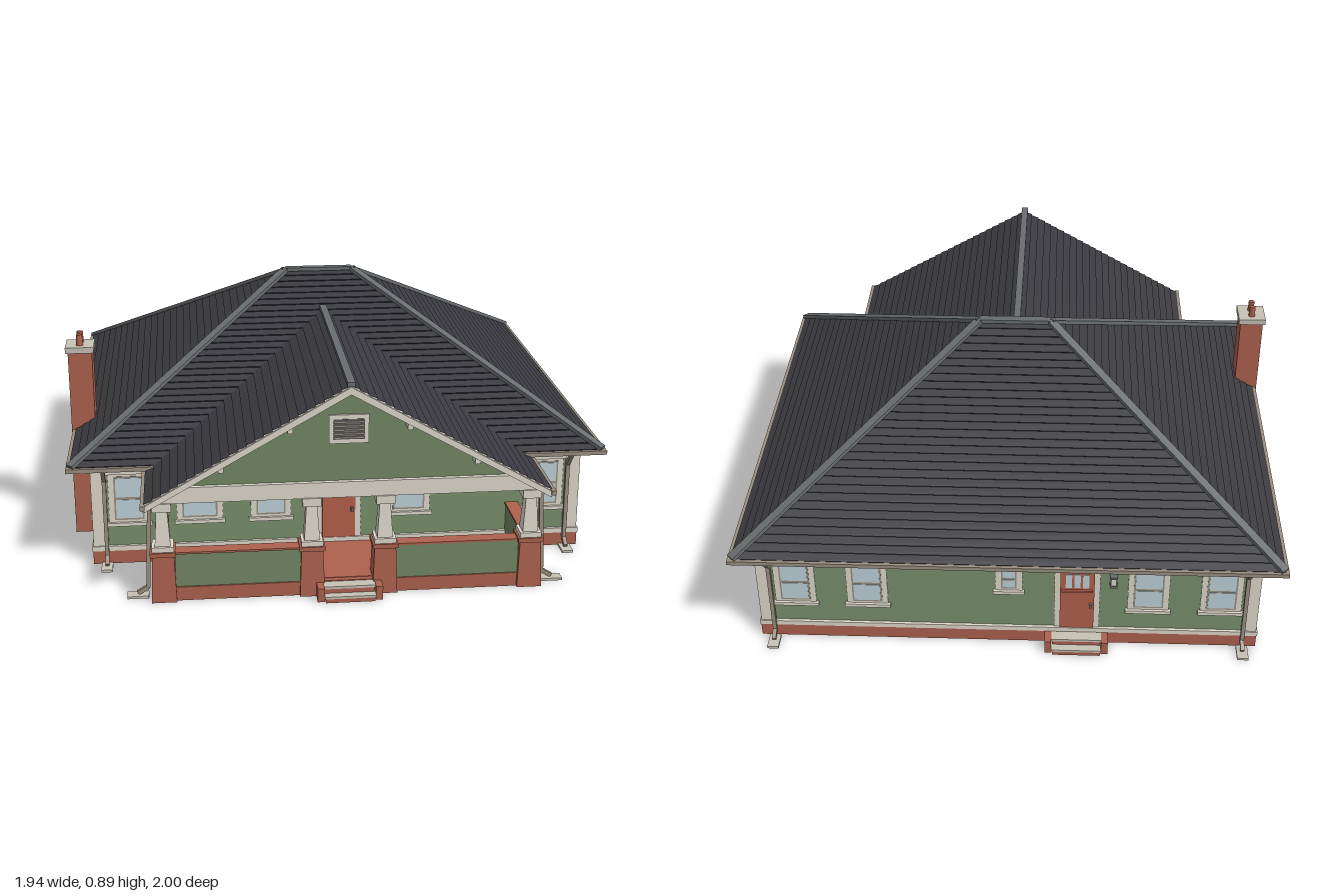
import * as THREE from 'three';

const mat = (name, color) => {
  const m = new THREE.MeshStandardMaterial({ color });
  m.name = name;
  return m;
};

export function createModel() {
  const house = new THREE.Group();
  house.name = 'house';
  const roofing = mat('roof shingle', 0x3b3a40), green = mat('green siding', 0x728866);
  const trim = mat('cream trim', 0xe0dacc), brick = mat('brick', 0xae624e);
  const glass = mat('glass', 0xc0d4dc), doorRed = mat('door red', 0xb5614b);
  const taupe = mat('taupe sash', 0x9a9080), metal = mat('grey metal', 0x6a6e70);
  const stone = mat('concrete', 0xc8c2b6), dark = mat('slate', 0x6c767b);
  const V = (x, y, z) => new THREE.Vector3(x, y, z);

  const add = (name, geo, m, parent = house) => {
    const mesh = new THREE.Mesh(geo, m);
    mesh.name = name;
    parent.add(mesh);
    return mesh;
  };
  // box given by its min and max on each axis
  const box = (name, m, x0, x1, y0, y1, z0, z1, parent = house) => {
    const b = add(name, new THREE.BoxGeometry(x1 - x0, y1 - y0, z1 - z0), m, parent);
    b.position.set((x0 + x1) / 2, (y0 + y1) / 2, (z0 + z1) / 2);
    return b;
  };
  // bar from a to b
  const bar = (name, m, a, b, w, h) => {
    const s = add(name, new THREE.BoxGeometry(w, h, a.distanceTo(b)), m);
    s.position.copy(a).lerp(b, 0.5);
    s.lookAt(b);
  };
  // plate with an outline in x and y, starting at z
  const plate = (name, m, pts, z, depth) => {
    const shape = new THREE.Shape(pts.map(p => new THREE.Vector2(...p)));
    const p = add(name, new THREE.ExtrudeGeometry(shape, { depth, bevelEnabled: false }), m);
    p.position.z = z;
    return p;
  };
  const ring = (name, m, x0, x1, y0, y1, z0, z1, t) => {
    box(name, m, x0, x1, y0, y1, z1 - t, z1);
    box(name, m, x0, x1, y0, y1, z0, z0 + t);
    box(name, m, x0, x0 + t, y0, y1, z0 + t, z1 - t);
    box(name, m, x1 - t, x1, y0, y1, z0 + t, z1 - t);
  };
  // square frustum
  const taper = (name, m, top, bottom, y0, y1, x, z) => {
    const g = new THREE.CylinderGeometry(top * Math.SQRT1_2, bottom * Math.SQRT1_2, y1 - y0, 4).rotateY(Math.PI / 4).toNonIndexed();
    g.computeVertexNormals();
    add(name, g, m).position.set(x, (y0 + y1) / 2, z);
  };
  // surface in lapped courses; lower left, lower right, top left, top right
  const courses = (name, m, el, er, tl, tr, n, lap) => {
    const up = er.clone().sub(el).cross(tl.clone().sub(el)).normalize().multiplyScalar(lap);
    const p = [];
    for (let i = 0; i < n; i++) {
      const a = el.clone().lerp(tl, i / n), b = er.clone().lerp(tr, i / n);
      const c = er.clone().lerp(tr, (i + 1) / n), d = el.clone().lerp(tl, (i + 1) / n);
      const A = a.clone().add(up), B = b.clone().add(up);
      for (const v of [A, B, c, A, c, d, a, b, B, a, B, A]) p.push(v.x, v.y, v.z);
    }
    const g = new THREE.BufferGeometry();
    g.setAttribute('position', new THREE.Float32BufferAttribute(p, 3));
    g.computeVertexNormals();
    add(name, g, m);
  };
  const slope = (name, el, er, tl, tr, n) => courses(name, roofing, el, er, tl, tr, n, 0.005);

  // foundation and floor
  ring('foundation', brick, -0.885, 0.885, 0, 0.05, -0.925, 0.615, 0.035);
  box('floorSlab', stone, -0.85, 0.85, 0.012, 0.05, -0.89, 0.58);
  for (let i = 1; i < 6; i++) box('slabJoint', taupe, -0.85 + i * 0.283 - 0.008, -0.85 + i * 0.283 + 0.008, 0.009, 0.013, -0.89, 0.58);
  for (let i = 1; i < 5; i++) box('slabJoint', taupe, -0.85, 0.85, 0.009, 0.013, -0.89 + i * 0.294 - 0.008, -0.89 + i * 0.294 + 0.008);

  // shingled walls
  box('walls', green, -0.875, 0.875, 0.05, 0.38, -0.915, 0.605);
  const corners = [[-0.875, 0.605], [0.875, 0.605], [0.875, -0.915], [-0.875, -0.915]];
  corners.forEach(([x, z], i) => {
    const [x2, z2] = corners[(i + 1) % 4];
    courses('wallShingles', green, V(x, 0.06, z), V(x2, 0.06, z2), V(x, 0.365, z), V(x2, 0.365, z2), 14, 0.003);
  });
  ring('waterTable', trim, -0.888, 0.888, 0.05, 0.068, -0.928, 0.618, 0.02);
  ring('frieze', trim, -0.882, 0.882, 0.36, 0.382, -0.922, 0.612, 0.02);
  for (const s of [-1, 1]) for (const [z0, z1] of [[-0.923, -0.87], [0.56, 0.613]]) {
    box('cornerBoard', trim, Math.min(s * 0.83, s * 0.883), Math.max(s * 0.83, s * 0.883), 0.05, 0.38, z0, z1);
  }

  // main hip roof
  const E = 0.948, F = 0.663, B = -0.977, ye = 0.39, yr = 0.875;
  const fl = V(-E, ye, F), fr = V(E, ye, F), bl = V(-E, ye, B), br = V(E, ye, B);
  const rl = V(-0.13, yr, -0.16), rr = V(0.13, yr, -0.16);
  slope('roofFront', fl, fr, rl, rr, 30);
  slope('roofBack', br, bl, rr, rl, 30);
  slope('roofRight', fr, br, rr, rr, 30);
  slope('roofLeft', bl, fl, rl, rl, 30);
  for (const [a, b] of [[fl, rl], [bl, rl], [fr, rr], [br, rr], [rl, rr]]) {
    bar('ridgeCap', metal, a.clone().add(V(0, 0.006, 0)), b.clone().add(V(0, 0.006, 0)), 0.032, 0.014);
  }
  box('soffit', trim, -0.945, 0.945, 0.38, 0.388, -0.975, 0.66);
  ring('gutter', taupe, -0.962, 0.962, 0.376, 0.391, -0.99, 0.677, 0.016);
  for (let i = 0; i <= 30; i++) {
    const x = -0.93 + i * 0.062, z = -0.96 + i * 0.0535;
    box('rafterTail', trim, x - 0.008, x + 0.008, 0.373, 0.38, -0.972, -0.92);
    if (Math.abs(x) > 0.7) box('rafterTail', trim, x - 0.008, x + 0.008, 0.373, 0.38, 0.61, 0.658);
    for (const s of [-1, 1]) box('rafterTail', trim, s * 0.91 - 0.032, s * 0.91 + 0.032, 0.373, 0.38, z - 0.008, z + 0.008);
  }

  // porch gable roof, running back into the main roof
  const gy = 0.765, ge = 0.372, gx = 0.685, gz = 0.972;
  slope('porchRoofRight', V(gx, ge, gz), V(gx, ge, 0.655), V(0, gy, gz), V(0, gy, 0.02), 24);
  slope('porchRoofLeft', V(-gx, ge, 0.655), V(-gx, ge, gz), V(0, gy, 0.02), V(0, gy, gz), 24);
  bar('porchRidgeCap', metal, V(0, gy + 0.008, 0.02), V(0, gy + 0.008, 0.978), 0.026, 0.016);
  for (const s of [-1, 1]) {
    plate('porchRoofDeck', trim, [[0, gy - 0.001], [s * gx, ge - 0.001], [s * gx, ge - 0.014], [0, gy - 0.016]], 0.66, 0.31);
    plate('rakeBoard', trim, [[0, gy - 0.002], [s * gx, ge - 0.002], [s * gx, ge - 0.024], [0, gy - 0.028]], 0.962, 0.014);
    box('porchGutter', taupe, s * 0.691 - 0.008, s * 0.691 + 0.008, 0.358, 0.374, 0.66, 0.983);
    for (const x of [0.2, 0.43]) {
      const y = gy - 0.57 * x - 0.035;
      box('purlinEnd', trim, s * x - 0.009, s * x + 0.009, y - 0.012, y + 0.012, 0.9, 0.962);
    }
  }
  plate('gableWall', green, [[-0.6, 0.4], [0.6, 0.4], [0, 0.75]], 0.88, 0.03);
  box('ventFrame', trim, -0.067, 0.067, 0.547, 0.648, 0.9, 0.918);
  box('ventBack', metal, -0.052, 0.052, 0.562, 0.633, 0.91, 0.92);
  for (let i = 0; i < 5; i++) box('ventLouver', taupe, -0.052, 0.052, 0.565 + i * 0.014, 0.572 + i * 0.014, 0.915, 0.925);

  // porch base, beams, piers and half walls
  ring('porchFoundation', brick, -0.665, 0.665, 0, 0.05, 0.61, 0.93, 0.03);
  box('porchFloor', brick, -0.64, 0.64, 0.044, 0.052, 0.61, 0.91);
  box('porchUnderside', dark, -0.636, 0.636, 0.038, 0.044, 0.638, 0.902);
  plate('porchBeam', trim, [[-0.66, 0.356], [0.66, 0.356], [0.655, 0.366], [0.577, 0.412], [-0.577, 0.412], [-0.655, 0.366]], 0.87, 0.056);
  box('porchCeiling', trim, -0.64, 0.64, 0.366, 0.374, 0.61, 0.88);
  for (const s of [-1, 1]) {
    box('sideBeam', trim, s * 0.63 - 0.02, s * 0.63 + 0.02, 0.358, 0.376, 0.61, 0.88);
    box('sideHalfWall', green, s * 0.635 - 0.02, s * 0.635 + 0.02, 0.05, 0.172, 0.61, 0.87);
    box('sideHalfWallCap', brick, s * 0.635 - 0.024, s * 0.635 + 0.024, 0.171, 0.178, 0.61, 0.87);
    box('frontHalfWall', green, s * 0.355 - 0.235, s * 0.355 + 0.235, 0.05, 0.172, 0.885, 0.925);
    box('frontHalfWallCap', brick, s * 0.355 - 0.235, s * 0.355 + 0.235, 0.171, 0.178, 0.881, 0.929);
    for (const x of [s * 0.125, s * 0.63]) {
      taper('brickPier', brick, 0.074, 0.086, 0, 0.17, x, 0.9);
      box('pierCap', brick, x - 0.044, x + 0.044, 0.168, 0.184, 0.856, 0.944);
      box('columnBase', trim, x - 0.037, x + 0.037, 0.184, 0.202, 0.863, 0.937);
      taper('porchColumn', trim, 0.036, 0.054, 0.2, 0.335, x, 0.9);
      box('columnCap', trim, x - 0.032, x + 0.032, 0.328, 0.358, 0.868, 0.932);
    }
  }

  // steps with brick cheeks
  const steps = (x, z, turn) => {
    const g = new THREE.Group();
    g.name = 'steps';
    g.position.set(x, 0, z);
    g.rotation.y = turn;
    house.add(g);
    box('lowerStep', brick, -0.085, 0.085, 0, 0.014, 0, 0.07, g);
    box('lowerTread', stone, -0.088, 0.088, 0.014, 0.022, 0, 0.07, g);
    box('upperStep', brick, -0.085, 0.085, 0.02, 0.04, 0, 0.04, g);
    box('upperTread', stone, -0.088, 0.088, 0.038, 0.047, 0, 0.042, g);
    for (const s of [-1, 1]) box('cheekWall', brick, s * 0.1 - 0.012, s * 0.1 + 0.012, 0, 0.05, 0, 0.06, g);
  };
  steps(0, 0.93, 0);
  steps(-0.245, -0.925, Math.PI);

  // windows and doors, built facing +z on a group for each wall
  const wall = (name, x, z, turn) => {
    const g = new THREE.Group();
    g.name = name;
    g.position.set(x, 0, z);
    g.rotation.y = turn;
    house.add(g);
    return g;
  };
  const opening = (g, x, w, y0, y1) => {
    const h = w / 2;
    box('casing', trim, x - h, x + h, y0, y1, -0.01, 0.006, g);
    box('headTrim', trim, x - h - 0.008, x + h + 0.008, y1 - 0.012, y1, -0.01, 0.014, g);
  };
  const win = (g, x, w = 0.145, y0 = 0.145, y1 = 0.355, lights = 1) => {
    opening(g, x, w, y0, y1);
    const h = w / 2, k = h - 0.02, b = y0 + 0.022, t = y1 - 0.022, mid = (b + t) / 2;
    box('sill', trim, x - h - 0.008, x + h + 0.008, y0, y0 + 0.013, -0.01, 0.016, g);
    box('sash', taupe, x - k, x + k, b, t, 0, 0.008, g);
    for (const [p, q] of [[b + 0.007, mid - 0.005], [mid + 0.005, t - 0.006]]) box('pane', glass, x - k + 0.006, x + k - 0.006, p, q, 0.004, 0.01, g);
    for (let i = 1; i < lights; i++) {
      const m = x - k + (2 * k * i) / lights;
      box('muntin', taupe, m - 0.003, m + 0.003, mid, t, 0.006, 0.012, g);
    }
  };
  const door = (g, x) => {
    opening(g, x, 0.16, 0.05, 0.352);
    box('doorLeaf', doorRed, x - 0.06, x + 0.06, 0.052, 0.332, 0, 0.01, g);
    for (const i of [-1, 0, 1]) box('doorLight', glass, x + i * 0.03 - 0.011, x + i * 0.03 + 0.011, 0.255, 0.315, 0.006, 0.013, g);
    box('doorShelf', doorRed, x - 0.055, x + 0.055, 0.238, 0.246, 0.008, 0.018, g);
    box('doorKnob', metal, x + 0.043, x + 0.052, 0.17, 0.185, 0.01, 0.022, g);
  };
  const front = wall('frontOpenings', 0, 0.605, 0), back = wall('backOpenings', 0, -0.915, Math.PI);
  const left = wall('leftSideOpenings', 0.875, 0, Math.PI / 2), right = wall('rightSideOpenings', -0.875, 0, -Math.PI / 2);
  for (const s of [-1, 1]) win(front, s * 0.75);
  win(front, -0.5, 0.165);
  win(front, -0.245, 0.145, 0.145, 0.355, 3);
  win(front, 0.255, 0.155);
  door(front, 0);
  for (const x of [0.75, 0.495, -0.495, -0.75]) win(back, -x);
  win(back, 0.005, 0.095, 0.22);
  door(back, 0.245);
  for (const z of [0.475, 0.225, -0.28, -0.775]) win(left, -z);
  win(left, 0.025, 0.095, 0.22);
  for (const z of [-0.57, -0.06, 0.48]) win(right, z);
  win(right, -0.33, 0.095, 0.2);

  // awning over the side window
  box('awningRoof', roofing, -0.325, -0.115, 0.355, 0.37, 0, 0.09, left);
  for (const z of [0.31, 0.13]) {
    box('awningArm', trim, -z - 0.008, -z + 0.008, 0.342, 0.356, 0, 0.09, left);
    bar('awningBrace', trim, V(0.877, 0.315, z), V(0.925, 0.345, z), 0.01, 0.01);
  }

  // lanterns
  const lantern = (x, y, z) => {
    box('lanternGlass', trim, x - 0.009, x + 0.009, y, y + 0.036, z - 0.009, z + 0.009);
    for (const h of [y - 0.005, y + 0.034]) box('lanternFrame', metal, x - 0.013, x + 0.013, h, h + 0.008, z - 0.013, z + 0.013);
  };
  lantern(0, 0.298, 0.75);
  box('lanternRod', metal, -0.003, 0.003, 0.335, 0.37, 0.747, 0.753);
  lantern(-0.37, 0.278, -0.932);

  // downspouts and splash blocks
  const spout = pts => pts.slice(1).forEach((p, i) => bar('downspout', taupe, pts[i], p, 0.014, 0.014));
  for (const s of [-1, 1]) {
    for (const [w, d] of [[0.622, 1], [-0.932, -1]]) {
      spout([V(s * 0.835, 0.376, w + d * 0.045), V(s * 0.835, 0.325, w), V(s * 0.835, 0.035, w), V(s * 0.835, 0.014, w + d * 0.035)]);
      box('splashBlock', stone, s * 0.835 - 0.02, s * 0.835 + 0.02, 0, 0.009, w + d * 0.034 - 0.033, w + d * 0.034 + 0.033);
    }
    spout([V(s * 0.69, 0.36, 0.885), V(s * 0.672, 0.32, 0.885), V(s * 0.685, 0.035, 0.885), V(s * 0.72, 0.014, 0.885)]);
    box('splashBlock', stone, s * 0.72 - 0.037, s * 0.72 + 0.037, 0, 0.009, 0.865, 0.905);
  }

  // chimney with sloped shoulders
  const outline = [[0.112, 0], [0.328, 0], [0.328, 0.235], [0.268, 0.34], [0.268, 0.69], [0.168, 0.69], [0.168, 0.34], [0.112, 0.235]];
  const chimney = plate('chimney', brick, outline.map(([z, y]) => [-z, y]), 0, 0.088);
  chimney.rotation.y = Math.PI / 2;
  chimney.position.x = -0.965;
  box('chimneyCap', stone, -0.974, -0.87, 0.688, 0.71, 0.162, 0.274);
  for (const z of [0.197, 0.239]) add('chimneyPot', new THREE.CylinderGeometry(0.011, 0.013, 0.042, 12), brick).position.set(-0.922, 0.73, z);

  return house;
}
